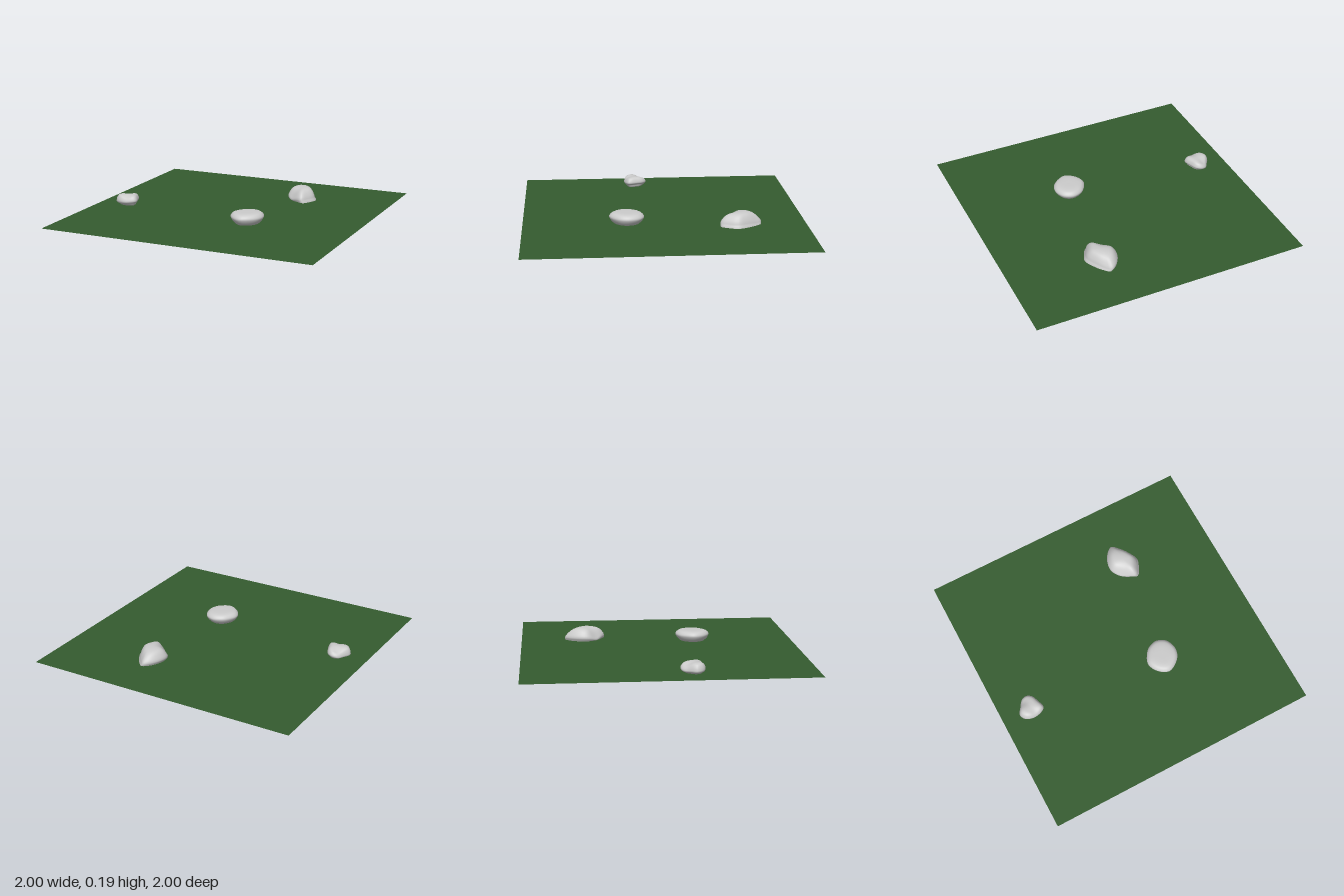
import * as THREE from 'three';
import { mergeVertices } from 'three/addons/utils/BufferGeometryUtils.js';

const SEGMENTS = 40, RINGS = 28;

// Lofts a smooth stone: a closed plan outline [x, z] about a centre,
// scaled through levels [y, scale, shiftX, shiftZ] from top to bottom.
// Each dent [x, z, radius, depth] lowers the upper side.
function stone(name, [cx, cz], outline, levels, dents = []) {
  const plan = new THREE.CatmullRomCurve3(
    outline.map(([x, z]) => new THREE.Vector3(x - cx, 0, z - cz)), true);
  const sizes = new THREE.CatmullRomCurve3(levels.map(([y, s]) => new THREE.Vector3(s, y, 0)));
  const shifts = new THREE.CatmullRomCurve3(
    levels.map(([, , dx = 0, dz = 0]) => new THREE.Vector3(dx, 0, dz)));
  const top = levels[0][0], bottom = levels[levels.length - 1][0];
  const positions = [], index = [];
  for (let i = 0; i <= RINGS; i++) {
    const size = sizes.getPoint(i / RINGS), shift = shifts.getPoint(i / RINGS);
    const scale = Math.max(0, size.x);
    for (let j = 0; j < SEGMENTS; j++) {
      const p = plan.getPoint(j / SEGMENTS).multiplyScalar(scale);
      const x = cx + p.x + shift.x, z = cz + p.z + shift.z;
      let y = size.y;
      const height = (y - bottom) / (top - bottom);
      for (const [dx, dz, r, depth] of dents) {
        y -= depth * THREE.MathUtils.smoothstep(height, 0.3, 1) *
          Math.exp(-((x - dx) ** 2 + (z - dz) ** 2) / (r * r));
      }
      positions.push(x, y, z);
      if (i < RINGS) {
        const a = i * SEGMENTS + j, b = i * SEGMENTS + (j + 1) % SEGMENTS;
        index.push(a, b, a + SEGMENTS, b, b + SEGMENTS, a + SEGMENTS);
      }
    }
  }
  let geometry = new THREE.BufferGeometry();
  geometry.setAttribute('position', new THREE.Float32BufferAttribute(positions, 3));
  geometry.setIndex(index);
  geometry = mergeVertices(geometry, 1e-5);
  geometry.computeVertexNormals();
  const mesh = new THREE.Mesh(geometry,
    new THREE.MeshStandardMaterial({ color: 0xcccccc, side: THREE.DoubleSide }));
  mesh.name = name;
  return mesh;
}

export function createModel() {
  const group = new THREE.Group();
  group.name = 'stonesOnGrass';

  // Flat ground sheet that cuts through the half-buried stones
  const grass = new THREE.Mesh(
    new THREE.PlaneGeometry(2, 2).rotateX(-Math.PI / 2),
    new THREE.MeshStandardMaterial({ color: 0x355c2f, side: THREE.DoubleSide }));
  grass.position.y = 0.1;
  grass.name = 'grass';
  group.add(grass);

  // Tall stone at the back, its foot leaning to one side
  group.add(stone('largeStone', [0.325, -0.53],
    [[0.315, -0.68], [0.265, -0.645], [0.225, -0.57], [0.222, -0.505], [0.26, -0.45], [0.32, -0.405],
      [0.37, -0.385], [0.405, -0.435], [0.43, -0.505], [0.405, -0.57], [0.355, -0.645]],
    [[0.195, 0], [0.193, 0.35], [0.183, 0.66], [0.155, 0.88], [0.12, 1], [0.085, 0.97],
      [0.05, 0.85, -0.015], [0.028, 0.6, -0.035, -0.02], [0.008, 0.3, -0.075, -0.04],
      [0, 0, -0.085, -0.045]],
    [[0.26, -0.43, 0.06, 0.04], [0.35, -0.66, 0.06, 0.02]]));

  // Broad flat-topped stone at the front
  group.add(stone('flatStone', [0.225, 0.27],
    [[0.245, 0.142], [0.18, 0.158], [0.14, 0.195], [0.107, 0.27], [0.14, 0.345], [0.22, 0.39],
      [0.315, 0.33], [0.34, 0.255], [0.31, 0.175]],
    [[0.18, 0], [0.18, 0.35], [0.177, 0.68], [0.168, 0.88], [0.147, 1], [0.125, 0.92],
      [0.1, 0.72], [0.075, 0.45], [0.056, 0.18], [0.05, 0]]));

  // Small lumpy stone at the side
  group.add(stone('smallStone', [-0.785, 0.165],
    [[-0.77, 0.067], [-0.81, 0.075], [-0.84, 0.115], [-0.872, 0.17], [-0.85, 0.215], [-0.8, 0.235],
      [-0.73, 0.225], [-0.698, 0.2], [-0.715, 0.135], [-0.735, 0.09]],
    [[0.178, 0], [0.178, 0.35], [0.175, 0.65], [0.162, 0.88], [0.135, 1], [0.112, 0.82],
      [0.092, 0.5, 0.005], [0.075, 0.3, 0.01], [0.065, 0.15, 0.01], [0.062, 0, 0.01]],
    [[-0.81, 0.1, 0.04, 0.02], [-0.77, 0.22, 0.035, 0.012]]));

  return group;
}
